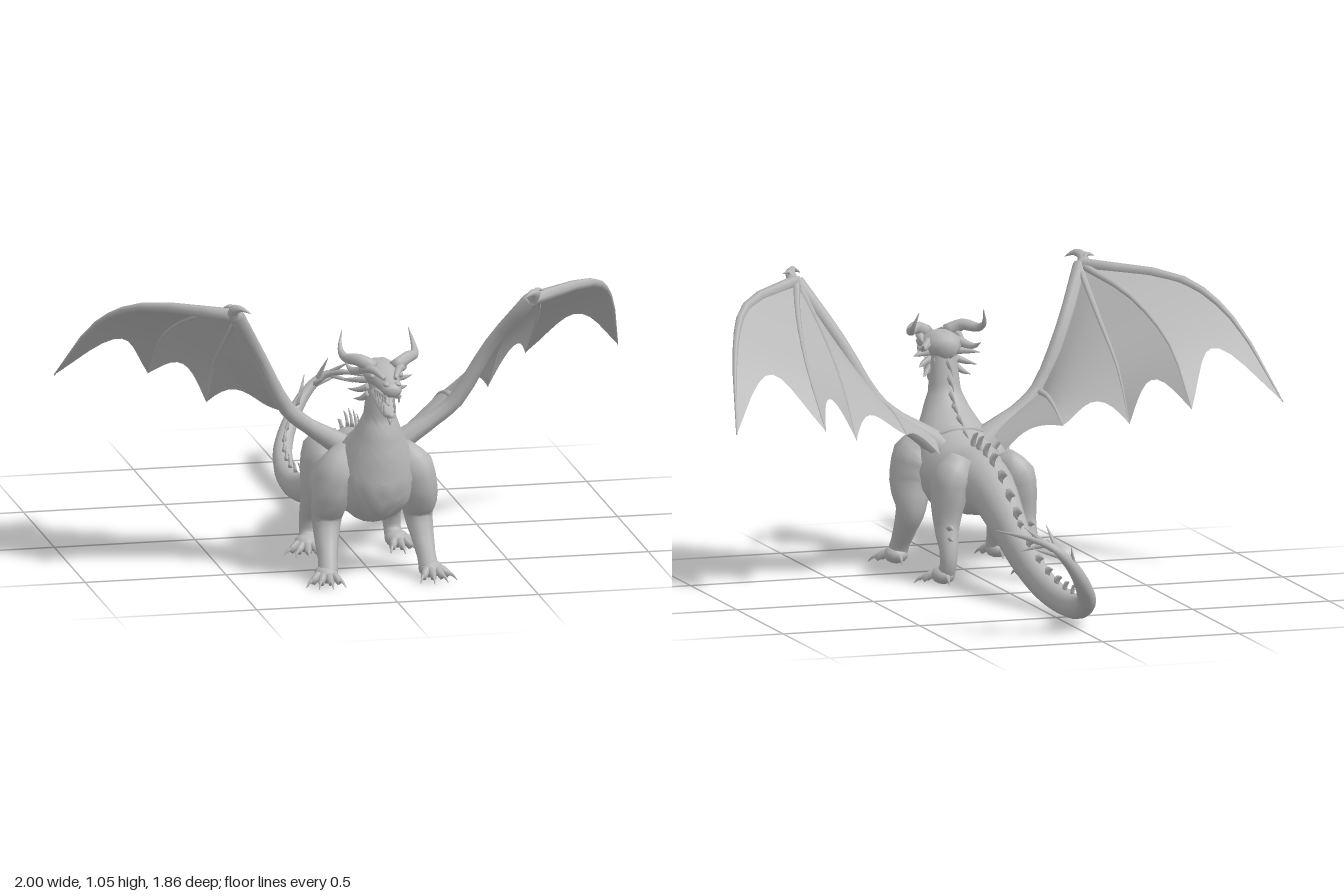
import * as THREE from 'three';
import { ParametricGeometry } from 'three/addons/geometries/ParametricGeometry.js';

const V = (x, y, z) => new THREE.Vector3(x, y, z);
const lerp = THREE.MathUtils.lerp;
const skin = new THREE.MeshStandardMaterial({ color: 0xb8b8b8, side: THREE.DoubleSide });
skin.name = 'stone grey';

function add(parent, geometry, name) {
  const mesh = new THREE.Mesh(geometry, skin);
  mesh.name = name;
  parent.add(mesh);
  return mesh;
}

// Frames along a smooth path; each section is [x, y, z, half width, half depth]
function framesOf(secs, steps, side) {
  const curve = new THREE.CatmullRomCurve3(secs.map(s => V(s[0], s[1], s[2])));
  const count = (secs.length - 1) * steps;
  const S = V(...side), frames = [];
  for (let i = 0; i <= count; i++) {
    const t = i / count, f = t * (secs.length - 1);
    const k = Math.min(Math.floor(f), secs.length - 2);
    const T = curve.getTangent(t);
    S.addScaledVector(T, -S.dot(T)).normalize();
    frames.push({
      p: curve.getPoint(t), T, S: S.clone(), U: T.clone().cross(S),
      rx: lerp(secs[k][3], secs[k + 1][3], f - k),
      ry: lerp(secs[k][4] ?? secs[k][3], secs[k + 1][4] ?? secs[k + 1][3], f - k),
    });
  }
  return frames;
}

const ringPoint = (f, a, k = 1) => f.p.clone()
  .addScaledVector(f.S, Math.cos(a) * f.rx * k)
  .addScaledVector(f.U, Math.sin(a) * f.ry * k);

// Skin over the frames, closed at both ends
function skinOver(frames, n) {
  const pos = [], idx = [], last = frames.length - 1;
  for (const f of frames)
    for (let j = 0; j < n; j++) pos.push(...ringPoint(f, (j / n) * Math.PI * 2).toArray());
  const c0 = pos.length / 3;
  pos.push(...frames[0].p.toArray(), ...frames[last].p.toArray());
  for (let j = 0; j < n; j++) {
    const j2 = (j + 1) % n;
    for (let i = 0; i < last; i++) {
      const a = i * n + j, b = i * n + j2;
      idx.push(a, b, a + n, b, b + n, a + n);
    }
    idx.push(c0, j2, j, c0 + 1, last * n + j, last * n + j2);
  }
  const g = new THREE.BufferGeometry();
  g.setAttribute('position', new THREE.Float32BufferAttribute(pos, 3));
  g.setIndex(idx);
  g.computeVertexNormals();
  return g;
}

const loft = (secs, n = 8, steps = 3, side = [1, 0, 0]) => skinOver(framesOf(secs, steps, side), n);

// Pointed horn through the given points
function horn(parent, points, r, name, n = 6) {
  const last = points.length - 1;
  const secs = points.map((p, i) => [...p, Math.max(r * (1 - (i / last) ** 1.5), 0.001)]);
  add(parent, loft(secs, n, 3, [0.31, 0.85, 0.42]), name);
}

function ball(parent, p, s, name) {
  const m = add(parent, new THREE.SphereGeometry(1, 12, 8), name);
  m.position.set(...p);
  m.scale.set(...s);
}

function buildBody(root) {
  const secs = [
    [0, 0.75, 0.72, 0.045, 0.045], [0, 0.68, 0.715, 0.05, 0.053], [0, 0.60, 0.705, 0.057, 0.06],
    [0, 0.53, 0.69, 0.085, 0.09], [0, 0.45, 0.655, 0.125, 0.135], [0, 0.375, 0.605, 0.155, 0.17],
    [0, 0.345, 0.53, 0.15, 0.155], [0, 0.335, 0.42, 0.125, 0.125], [0, 0.34, 0.30, 0.105, 0.115],
    [0, 0.325, 0.18, 0.082, 0.093], [0, 0.245, 0.02, 0.063, 0.08], [0, 0.15, -0.17, 0.048, 0.065],
    [-0.02, 0.08, -0.33, 0.043, 0.055], [-0.04, 0.05, -0.48, 0.04, 0.048],
    [-0.04, 0.062, -0.64, 0.038, 0.042], [-0.02, 0.11, -0.77, 0.033, 0.036],
    [0.03, 0.19, -0.86, 0.027, 0.03], [0.09, 0.27, -0.9, 0.02, 0.022],
    [0.15, 0.325, -0.905, 0.014, 0.016], [0.21, 0.35, -0.85, 0.01, 0.011], [0.29, 0.36, -0.70, 0.001, 0.001],
  ];
  const steps = 4, frames = framesOf(secs, steps, [-1, 0, 0]);
  add(root, skinOver(frames, 14), 'bodyAndTail');

  // Overlapping chevron plates down the throat and chest
  for (let k = 0; k < 5; k++) {
    const g = new ParametricGeometry((u, v, target) => {
      const w = Math.abs(v - 0.5) * 2;
      const f = (2.0 + k * 0.72 + u * 0.78 - 0.45 * w) * steps, i = Math.floor(f);
      const a = -Math.PI / 2 + (v - 0.5) * 1.9, s = 1.005 + 0.05 * u * (1 - w * 0.6);
      target.copy(ringPoint(frames[i], a, s)).lerp(ringPoint(frames[i + 1], a, s), f - i);
    }, 4, 8);
    add(root, g, 'chestPlate');
  }

  // Swept-back spines along neck, back and tail
  const spine = (at, h, len) => {
    const f = frames[Math.round(at * steps)];
    const base = ringPoint(f, Math.PI / 2, 0.93);
    const mid = base.clone().addScaledVector(f.U, h * 0.55).addScaledVector(f.T, len * 0.25);
    const tip = base.clone().addScaledVector(f.U, h).addScaledVector(f.T, len * 0.95);
    add(root, loft([[...base.toArray(), 0.008, len / 2], [...mid.toArray(), 0.005, len * 0.3],
      [...tip.toArray(), 0.001, 0.001]], 4, 2, f.S.toArray()), 'spine');
  };
  for (let at = 0.75; at < 5; at += 0.75) spine(at, 0.05, 0.045);
  for (let at = 7.25; at < 10.3; at += 0.5) spine(at, 0.058, 0.065);
  for (let at = 10.5; at < 17; at += 0.5) spine(at, 0.038, 0.045);

  // Spike cluster near the tail tip
  for (const [a, b] of [
    [[0.06, 0.23, -0.89], [0.09, 0.33, -0.925]], [[0.11, 0.29, -0.905], [0.23, 0.33, -0.925]],
    [[0.13, 0.31, -0.905], [0.16, 0.40, -0.86]], [[0.16, 0.33, -0.90], [0.23, 0.39, -0.83]],
    [[0.17, 0.335, -0.89], [0.25, 0.31, -0.85]], [[0.12, 0.30, -0.9], [0.14, 0.34, -0.81]],
  ]) horn(root, [a, a.map((v, i) => lerp(v, b[i], 0.5)), b], 0.011, 'tailSpike', 5);
}

function buildHead(root) {
  const head = new THREE.Group();
  head.name = 'head';
  root.add(head);
  add(head, loft([[0, 0.745, 0.655, 0.03, 0.03], [0, 0.755, 0.70, 0.062, 0.05], [0, 0.76, 0.76, 0.068, 0.046],
    [0, 0.755, 0.81, 0.052, 0.038], [0, 0.742, 0.87, 0.036, 0.028], [0, 0.738, 0.915, 0.034, 0.026],
    [0, 0.735, 0.933, 0.018, 0.014]], 10), 'skull');
  add(head, loft([[0, 0.71, 0.69, 0.045, 0.035], [0, 0.69, 0.75, 0.044, 0.026], [0, 0.66, 0.81, 0.033, 0.018],
    [0, 0.642, 0.86, 0.025, 0.014], [0, 0.64, 0.893, 0.008, 0.008]], 8), 'lowerJaw');
  add(head, loft([[0, 0.69, 0.76, 0.016, 0.006], [0, 0.68, 0.81, 0.015, 0.006], [0, 0.672, 0.86, 0.004, 0.003]], 6), 'tongue');
  horn(head, [[0, 0.635, 0.86], [0, 0.62, 0.875], [0, 0.605, 0.88]], 0.01, 'chinSpike');

  for (const sgn of [1, -1]) {
    const half = new THREE.Group();
    half.name = sgn > 0 ? 'leftFace' : 'rightFace';
    half.scale.x = sgn;
    head.add(half);
    horn(half, [[0.035, 0.79, 0.79], [0.085, 0.815, 0.765], [0.122, 0.812, 0.71], [0.13, 0.835, 0.66],
      [0.118, 0.89, 0.63]], 0.025, 'mainHorn', 8);
    horn(half, [[0.05, 0.77, 0.72], [0.09, 0.755, 0.67], [0.105, 0.775, 0.62]], 0.018, 'lowerHorn');
    for (const [y, x2, y2, z2] of [[0.735, 0.122, 0.73, 0.68], [0.71, 0.105, 0.69, 0.67], [0.685, 0.085, 0.655, 0.675]])
      horn(half, [[0.04, y, 0.725], [lerp(0.04, x2, 0.55), lerp(y, y2, 0.7), 0.71], [x2, y2, z2]], 0.016, 'cheekSpike', 5);
    add(half, loft([[0.02, 0.772, 0.875, 0.008], [0.045, 0.79, 0.82, 0.014], [0.068, 0.785, 0.77, 0.016],
      [0.075, 0.77, 0.72, 0.004]], 6), 'brow');
    ball(half, [0.05, 0.768, 0.812], [0.011, 0.011, 0.014], 'eye');
    ball(half, [0.02, 0.76, 0.91], [0.012, 0.009, 0.014], 'nostril');
    for (let i = 0; i < 5; i++) {
      const z = 0.915 - i * 0.027, x = 0.025 + i * 0.003;
      horn(half, [[x, 0.722, z], [x, 0.708, z], [x, 0.695 - (i === 1 ? 0.01 : 0), z]], 0.006, 'upperTooth', 4);
      if (i) horn(half, [[x - 0.01, 0.64 + i * 0.007, z - 0.02], [x - 0.008, 0.66 + i * 0.007, z - 0.02],
        [x - 0.008, 0.674 + i * 0.006, z - 0.018]], 0.005, 'lowerTooth', 4);
    }
  }
}

// Foot with four clawed toes, turned slightly outward
function foot(parent, x, z, turn) {
  ball(parent, [x, 0.035, z], [0.042, 0.032, 0.05], 'foot');
  for (let i = 0; i < 4; i++) {
    const a = turn + (i - 1.5) * 0.5, sx = Math.sin(a), cz = Math.cos(a);
    const at = (d, y) => [x + sx * d, y, z + cz * d];
    add(parent, loft([[...at(0.015, 0.035), 0.018, 0.022], [...at(0.045, 0.034), 0.014, 0.016],
      [...at(0.07, 0.017), 0.011, 0.013]], 6, 2), 'toe');
    horn(parent, [at(0.06, 0.023), at(0.08, 0.022), at(0.102, 0.003)], 0.01, 'claw', 5);
  }
  horn(parent, [[x, 0.035, z - 0.03], [x, 0.03, z - 0.055], [x, 0.008, z - 0.07]], 0.012, 'dewclaw', 5);
}

function buildLegs(side) {
  add(side, loft([[0.09, 0.46, 0.60, 0.04, 0.06], [0.13, 0.39, 0.625, 0.078, 0.10], [0.152, 0.30, 0.62, 0.07, 0.09],
    [0.162, 0.215, 0.59, 0.053, 0.055], [0.17, 0.14, 0.625, 0.042, 0.04], [0.175, 0.08, 0.665, 0.034, 0.034],
    [0.18, 0.03, 0.69, 0.036, 0.036]], 10), 'frontLeg');
  foot(side, 0.185, 0.685, 0.2);
  add(side, loft([[0.075, 0.43, 0.30, 0.04, 0.06], [0.115, 0.37, 0.29, 0.068, 0.098], [0.13, 0.28, 0.285, 0.06, 0.085],
    [0.14, 0.2, 0.265, 0.045, 0.055], [0.147, 0.13, 0.228, 0.034, 0.036], [0.15, 0.07, 0.222, 0.03, 0.03],
    [0.155, 0.03, 0.25, 0.034, 0.034]], 10), 'hindLeg');
  foot(side, 0.16, 0.25, 0.35);
  for (const y of [0.16, 0.2])
    horn(side, [[0.147, y, 0.225], [0.15, y + 0.01, 0.195], [0.152, y + 0.005, 0.165]], 0.014, 'heelSpike', 5);
}

function buildWing(side) {
  const wing = new THREE.Group();
  wing.name = 'wing';
  side.add(wing);
  // Finger paths from the leading edge inward, ending at the body
  const fingers = [
    [[0.52, 1.0, 0.77], [0.8, 0.975, 0.49], [0.91, 0.87, 0.28], [1.0, 0.62, 0.0]],
    [[0.52, 1.0, 0.77], [0.61, 0.93, 0.49], [0.665, 0.80, 0.23], [0.67, 0.61, 0.01]],
    [[0.515, 0.99, 0.76], [0.505, 0.85, 0.52], [0.505, 0.71, 0.32], [0.5, 0.54, 0.18]],
    [[0.30, 0.60, 0.57], [0.295, 0.60, 0.46], [0.29, 0.575, 0.36], [0.285, 0.53, 0.27]],
    [[0.10, 0.46, 0.585], [0.10, 0.47, 0.53], [0.11, 0.46, 0.46], [0.12, 0.43, 0.4]],
  ];
  const curves = fingers.map(f => new THREE.CatmullRomCurve3(f.map(p => V(...p))));
  [0.25, 0.2, 0.2, 0.2].forEach((pull, k) => {
    const g = new ParametricGeometry((u, v, target) => {
      const t = u * (1 - pull * Math.sin(Math.PI * v));
      target.copy(curves[k].getPoint(t)).lerp(curves[k + 1].getPoint(t), v);
    }, 12, 10);
    add(wing, g, 'membrane');
  });
  const radii = [0.024, 0.014, 0.013, 0.014];
  for (let k = 0; k < 4; k++)
    add(wing, loft(fingers[k].map((p, i) => [...p, radii[k] * (1 - i * 0.3)]), 6), 'wingFinger');
  add(wing, loft([[0.06, 0.42, 0.53, 0.05, 0.075], [0.13, 0.475, 0.545, 0.038, 0.058], [0.22, 0.535, 0.56, 0.028, 0.038],
    [0.30, 0.605, 0.575, 0.028, 0.032], [0.41, 0.81, 0.635, 0.024, 0.026], [0.52, 1.0, 0.77, 0.026, 0.026]],
  8, 3, [0, 1, 0]), 'wingArm');
  horn(wing, [[0.525, 0.985, 0.755], [0.535, 1.025, 0.79], [0.515, 1.035, 0.82], [0.485, 1.02, 0.835]], 0.024, 'wingClaw');
  horn(wing, [[0.53, 1.01, 0.77], [0.545, 1.035, 0.775], [0.57, 1.03, 0.77]], 0.014, 'wingSpur', 5);
}

export function createModel() {
  const root = new THREE.Group();
  root.name = 'dragon';
  buildBody(root);
  buildHead(root);
  for (const sgn of [1, -1]) {
    const side = new THREE.Group();
    side.name = sgn > 0 ? 'leftLimbs' : 'rightLimbs';
    side.scale.x = sgn;
    buildLegs(side);
    buildWing(side);
    root.add(side);
  }
  return root;
}
